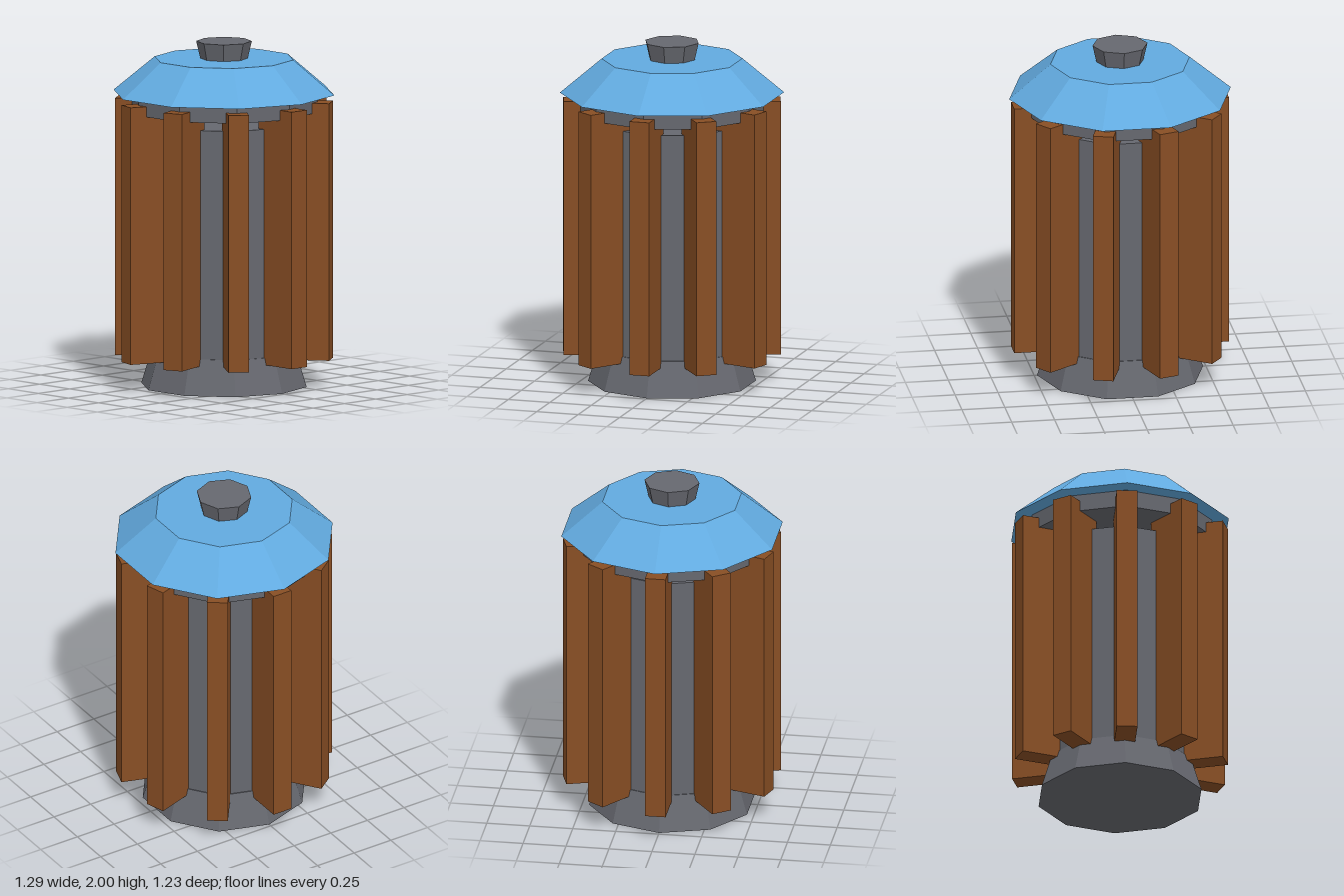
import * as THREE from 'three';

const SIDES = 10;

export function createModel() {
  const group = new THREE.Group();
  group.name = 'slattedBin';

  const flat = (name, color) => {
    const m = new THREE.MeshStandardMaterial({ color, flatShading: true });
    m.name = name;
    return m;
  };
  const blue = flat('lid blue', 0x62aadf);
  const brown = flat('wood brown', 0x884e24);
  const grey = flat('metal grey', 0x66686f);

  // Faceted drum or cone between two heights, with corners on the x axis
  const drum = (name, rTop, rBottom, y0, y1, material, sides = SIDES) => {
    const geometry = new THREE.CylinderGeometry(rTop, rBottom, y1 - y0, sides, 1, false, Math.PI / 2);
    const mesh = new THREE.Mesh(geometry, material);
    mesh.position.y = (y0 + y1) / 2;
    mesh.name = name;
    group.add(mesh);
  };

  drum('base', 0.42, 0.483, 0, 0.205, grey);
  drum('innerDrum', 0.415, 0.415, 0.2, 1.535, grey);
  drum('lidCollar', 0.545, 0.545, 1.6, 1.7, grey);
  drum('lid', 0.405, 0.645, 1.7, 1.9, blue);
  drum('knob', 0.16, 0.137, 1.9, 2, grey, 8);

  // Upright wooden slats around the drum
  const inner = 0.35, outer = 0.625, bottom = 0.165, top = 1.66;
  const slatGeometry = new THREE.BoxGeometry(outer - inner, top - bottom, 0.12);
  slatGeometry.translate((inner + outer) / 2, (bottom + top) / 2, 0);
  const slats = new THREE.Group();
  slats.name = 'slats';
  for (let i = 0; i < SIDES; i++) {
    const slat = new THREE.Mesh(slatGeometry, brown);
    slat.name = 'slat' + (i + 1);
    slat.rotation.y = (i * Math.PI * 2) / SIDES;
    slats.add(slat);
  }
  group.add(slats);

  return group;
}
